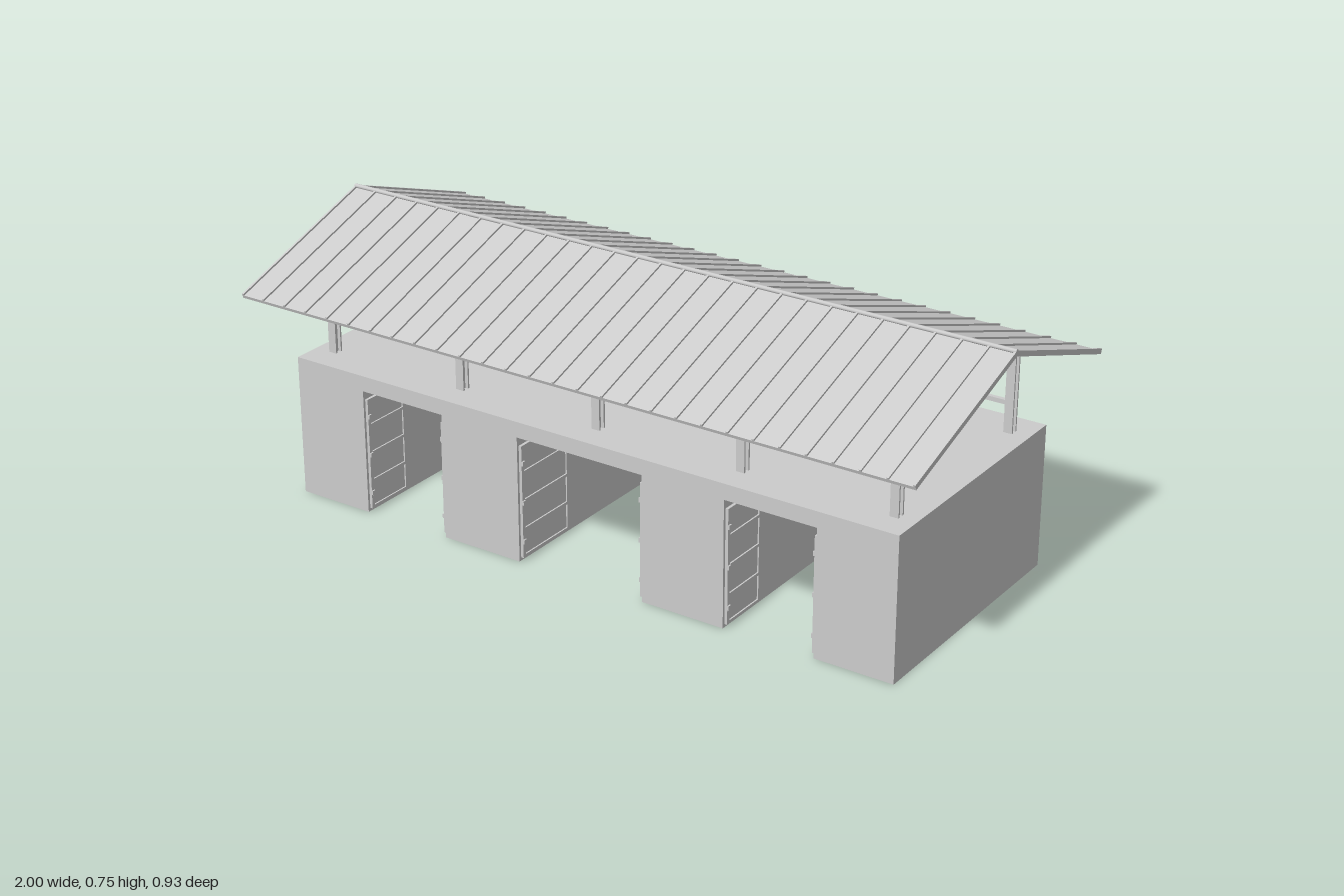
import * as THREE from 'three';

const concrete = new THREE.MeshStandardMaterial({ color: 0xcccccc });
concrete.name = 'pale grey';

// Box given by its minimum and maximum corners
function box(parent, name, x0, x1, y0, y1, z0, z1) {
  const mesh = new THREE.Mesh(new THREE.BoxGeometry(x1 - x0, y1 - y0, z1 - z0), concrete);
  mesh.position.set((x0 + x1) / 2, (y0 + y1) / 2, (z0 + z1) / 2);
  mesh.name = name;
  parent.add(mesh);
  return mesh;
}

function group(parent, name) {
  const g = new THREE.Group();
  g.name = name;
  parent.add(g);
  return g;
}

const DECK = 0.393, POST_Z = 0.28, FRAMES = [-0.853, -0.427, 0, 0.427, 0.853];

// Solid base with three passages cut straight through
function addBase(root) {
  const D = 0.366, W = 0.91, H = 0.35;
  const shape = new THREE.Shape();
  shape.moveTo(-W, 0);
  for (const [a, b] of [[-0.69, -0.43], [-0.19, 0.19], [0.43, 0.69]]) {
    shape.lineTo(a, 0);
    shape.lineTo(a, H);
    shape.lineTo(b, H);
    shape.lineTo(b, 0);
  }
  shape.lineTo(W, 0);
  shape.lineTo(W, DECK);
  shape.lineTo(-W, DECK);
  const geo = new THREE.ExtrudeGeometry(shape, { depth: 2 * D, bevelEnabled: false });
  geo.translate(0, 0, -D);
  const base = new THREE.Mesh(geo, concrete);
  base.name = 'base';
  root.add(base);
}

// Open gate leaf against a passage wall; dir points into the passage
function addGateLeaf(root, wallX, dir, width) {
  const leaf = group(root, 'gateLeaf');
  leaf.position.set(wallX, 0, 0.36);
  if (dir < 0) leaf.rotation.y = Math.PI;
  const span = (z0, z1) => (dir > 0 ? [-z1, -z0] : [z0, z1]);
  box(leaf, 'gatePanel', 0.001, 0.005, 0.012, 0.325, ...span(0, width));
  for (const z of [0, width - 0.01])
    box(leaf, 'gateStile', 0.001, 0.009, 0.01, 0.325, ...span(z, z + 0.01));
  for (const y of [0.01, 0.085, 0.165, 0.245, 0.317])
    box(leaf, 'gateRail', 0.001, 0.009, y, y + 0.008, ...span(0, width));
  // Hinge knuckles
  for (const y of [0.05, 0.16, 0.27])
    box(leaf, 'gateHinge', 0.001, 0.013, y, y + 0.012, ...span(0, 0.01));
}

// Steel column with two flanges and a web
function addPost(root, x, z) {
  const post = group(root, 'post');
  post.position.set(x, 0, z);
  for (const s of [-1, 1])
    box(post, 'postFlange', -0.012, 0.012, DECK, 0.632, s * 0.0095 - 0.0025, s * 0.0095 + 0.0025);
  box(post, 'postWeb', -0.003, 0.003, DECK, 0.632, -0.008, 0.008);
}

// Gable roof: two sloped sheets with standing seams and rafters
function addRoof(root) {
  const roof = group(root, 'roof');
  const L = 0.491, angle = Math.atan(0.344);
  for (const turn of [0, Math.PI]) {
    const side = group(roof, 'roofSide');
    side.rotation.y = turn;
    const slope = group(side, 'roofSlope');
    slope.position.y = 0.741;
    slope.rotation.x = angle;
    box(slope, 'roofSheet', -1, 1, -0.009, 0, 0, L);
    for (let i = 0; i <= 28; i++) {
      const x = THREE.MathUtils.clamp(-1 + i / 14, -0.997, 0.997);
      box(slope, 'roofSeam', x - 0.003, x + 0.003, 0, 0.005, 0, L);
    }
    for (const x of FRAMES)
      box(slope, 'rafter', x - 0.008, x + 0.008, -0.021, -0.009, 0, 0.3);
  }
  const ridge = new THREE.Mesh(new THREE.CylinderGeometry(0.006, 0.006, 2, 10), concrete);
  ridge.rotation.z = Math.PI / 2;
  ridge.position.y = 0.744;
  ridge.name = 'ridgeCap';
  roof.add(ridge);
}

// Open-topped room on the deck with a door at the front
function addRoom(root) {
  const room = group(root, 'room');
  const top = 0.575, t = 0.008;
  box(room, 'roomFrontWall', -0.217, 0.217, DECK, top, 0.097, 0.105);
  box(room, 'roomBackWall', -0.217, 0.217, DECK, top, -0.268, -0.26);
  for (const s of [-1, 1])
    box(room, 'roomSideWall', s * 0.213 - t / 2, s * 0.213 + t / 2, DECK, top, -0.26, 0.097);
  box(room, 'roomDoor', -0.083, 0.083, DECK, 0.54, 0.105, 0.108);
}

export function createModel() {
  const root = new THREE.Group();
  root.name = 'gatehouse';
  addBase(root);

  for (const [a, b, w] of [[-0.69, -0.43, 0.15], [-0.19, 0.19, 0.2], [0.43, 0.69, 0.15]]) {
    addGateLeaf(root, a, 1, w);
    addGateLeaf(root, b, -1, w);
  }

  // Roof frame
  for (const x of FRAMES) {
    for (const s of [-1, 1]) addPost(root, x, s * POST_Z);
    box(root, 'tieBeam', x - 0.008, x + 0.008, 0.625, 0.638, -0.27, 0.27);
  }
  for (const s of [-1, 1])
    box(root, 'eaveBeam', -0.865, 0.865, 0.62, 0.632, s * POST_Z - 0.008, s * POST_Z + 0.008);

  // Rear railings in the outer bays
  for (const s of [-1, 1]) {
    box(root, 'railing', s * 0.64 - 0.213, s * 0.64 + 0.213, 0.465, 0.477, -0.286, -0.274);
    box(root, 'railingPost', s * 0.64 - 0.005, s * 0.64 + 0.005, DECK, 0.465, -0.285, -0.275);
  }

  addRoom(root);
  addRoof(root);
  return root;
}
